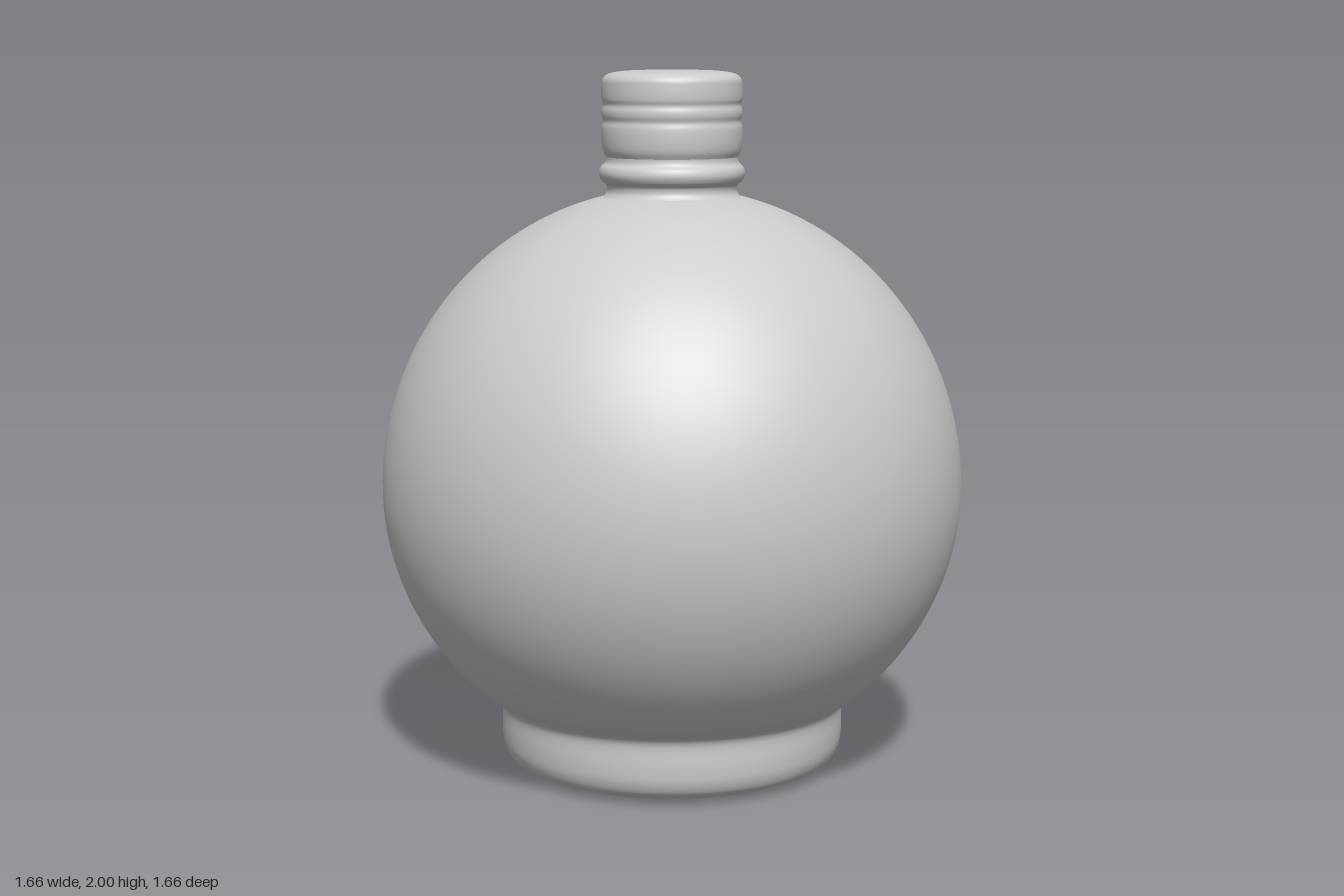
import * as THREE from 'three';

const material = new THREE.MeshStandardMaterial({ color: 0xcccccc });
const SEGMENTS = 96;

// Smooth curve through [radius, height] pairs
function smoothProfile(pairs, divisions) {
  const points = pairs.map(([r, y]) => new THREE.Vector3(r, y, 0));
  return new THREE.CatmullRomCurve3(points, false, 'centripetal')
    .getPoints(divisions)
    .map((p) => new THREE.Vector2(Math.max(p.x, 0), p.y));
}

function turned(name, profile) {
  const mesh = new THREE.Mesh(new THREE.LatheGeometry(profile, SEGMENTS), material);
  mesh.name = name;
  return mesh;
}

// Round belly: an ellipse slightly taller above its widest point than below
function bellyProfile() {
  const radius = 0.83, middle = 0.82, above = 0.85, below = 0.79;
  const start = -Math.acos(0.535 / radius), end = Math.acos(0.195 / radius);
  const points = [];
  for (let i = 0; i <= 64; i++) {
    const a = start + ((end - start) * i) / 64;
    points.push(new THREE.Vector2(radius * Math.cos(a), middle + (a < 0 ? below : above) * Math.sin(a)));
  }
  return points;
}

export function createModel() {
  const group = new THREE.Group();
  group.name = 'bottle';

  // Foot with a rounded lower edge and a soft fillet up into the belly
  const foot = smoothProfile([
    [0, 0], [0.2, 0], [0.38, 0.003], [0.435, 0.012], [0.473, 0.032], [0.49, 0.065],
    [0.495, 0.11], [0.495, 0.175], [0.502, 0.193], [0.515, 0.206],
  ], 48);
  group.add(turned('footAndBelly', [...foot, ...bellyProfile()]));

  // Neck collar: flare, groove and bead
  group.add(turned('neckCollar', smoothProfile([
    [0.215, 1.632], [0.196, 1.645], [0.185, 1.66], [0.186, 1.678], [0.2, 1.692],
    [0.207, 1.71], [0.203, 1.728], [0.19, 1.742], [0.187, 1.758], [0.19, 1.77],
  ], 48)));

  // Cap with two shallow grooves and a softly domed top
  group.add(turned('cap', smoothProfile([
    [0.187, 1.758], [0.195, 1.775], [0.199, 1.8], [0.199, 1.84], [0.195, 1.858],
    [0.199, 1.874], [0.199, 1.888], [0.195, 1.904], [0.199, 1.92], [0.199, 1.955],
    [0.196, 1.975], [0.183, 1.988], [0.15, 1.996], [0.08, 2], [0, 2],
  ], 80)));

  return group;
}
